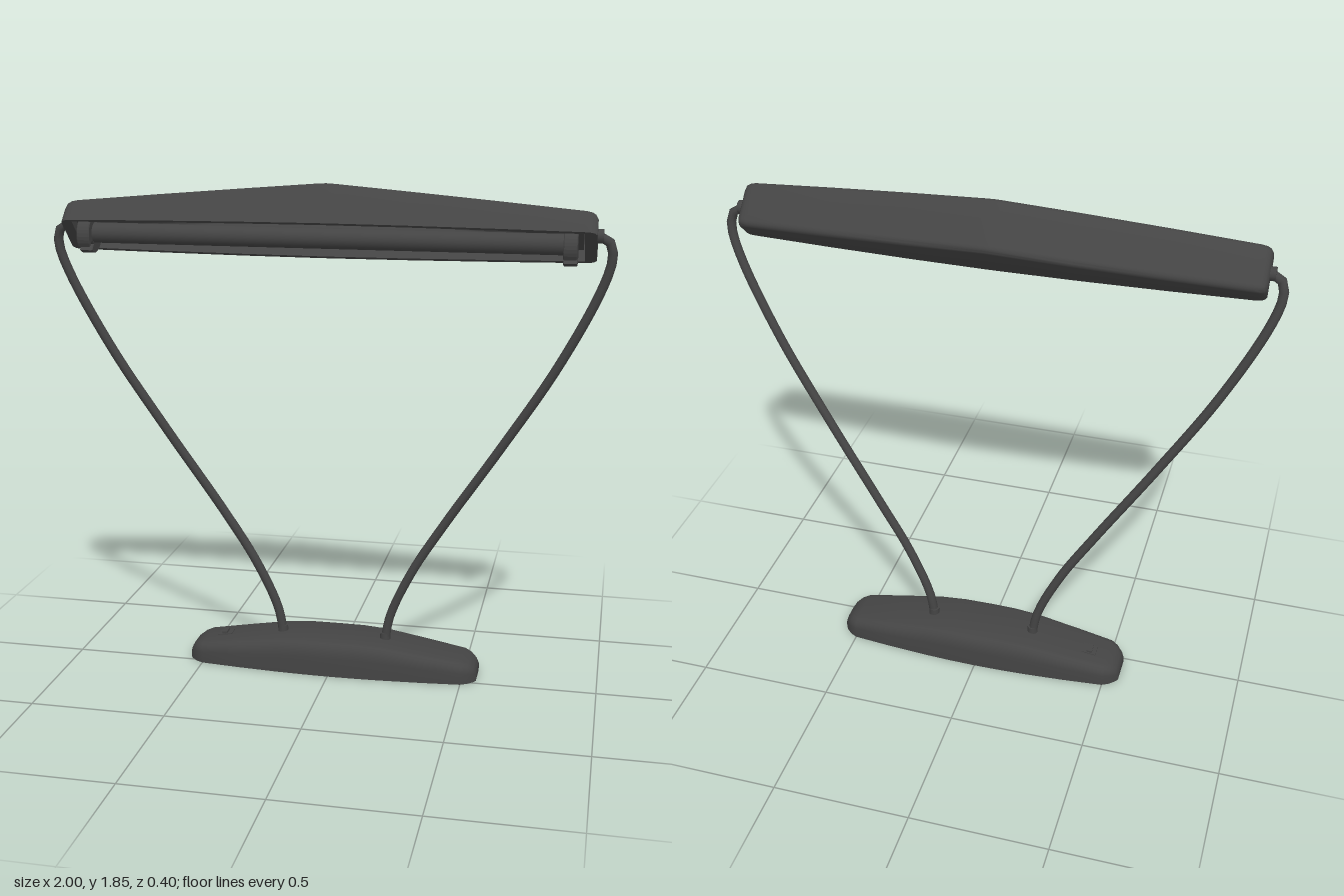
import * as THREE from 'three';
import { toCreasedNormals } from 'three/addons/utils/BufferGeometryUtils.js';

const dark = new THREE.MeshStandardMaterial({ color: 0x444444 });

function add(parent, name, geometry, x = 0, y = 0, z = 0) {
  const mesh = new THREE.Mesh(geometry, dark);
  mesh.name = name;
  mesh.position.set(x, y, z);
  parent.add(mesh);
  return mesh;
}

// Skin closed cross-sections [z, y] placed along x; both ends close to a point.
function loft(stations, crease = 0.6) {
  const rings = stations.map(({ x, pts }) => pts.map(([z, y]) => new THREE.Vector3(x, y, z)));
  const closeEnd = (ring) => {
    const mid = ring.reduce((s, p) => s.add(p), new THREE.Vector3()).divideScalar(ring.length);
    return ring.map(() => mid);
  };
  rings.unshift(closeEnd(rings[0]));
  rings.push(closeEnd(rings[rings.length - 1]));
  const pos = [];
  const tri = (a, b, c) => {
    const area = b.clone().sub(a).cross(c.clone().sub(a)).length();
    if (area > 1e-9) for (const p of [a, b, c]) pos.push(p.x, p.y, p.z);
  };
  for (let i = 0; i < rings.length - 1; i++) {
    const n = rings[i].length;
    for (let j = 0; j < n; j++) {
      const k = (j + 1) % n;
      tri(rings[i][j], rings[i][k], rings[i + 1][k]);
      tri(rings[i][j], rings[i + 1][k], rings[i + 1][j]);
    }
  }
  const geo = new THREE.BufferGeometry();
  geo.setAttribute('position', new THREE.Float32BufferAttribute(pos, 3));
  return toCreasedNormals(geo, crease);
}

// Mirror a list of half stations (x from the middle outwards) to both sides.
function mirrorStations(half) {
  const left = half.filter((s) => s.x > 0).map((s) => ({ ...s, x: -s.x })).reverse();
  return [...left, ...half];
}

// Arch from one lower edge over the top to the other, with rounded upper corners.
function arch(w, h, rz, ry) {
  const half = [[w, 0]];
  for (let i = 0; i <= 4; i++) {
    const a = (i / 4) * Math.PI / 2;
    half.push([w - rz + rz * Math.cos(a), h - ry + ry * Math.sin(a)]);
  }
  return [...half.map(([z, y]) => [-z, y]), ...half.reverse()];
}

// Trough section: outer arch followed by the inner arch; solid closes the cavity.
function trough(w, h, solid) {
  const t = 0.01;
  const inner = arch(w - t, h - t, 0.015, 0.015).reverse();
  return [...arch(w, h, 0.022, 0.022), ...inner.map(([z, y]) => [z, solid ? 0 : y])];
}

function createShade() {
  const shade = new THREE.Group();
  shade.name = 'shade';
  const half = [
    [0, 0.097, 0.186], [0.03, 0.097, 0.184], [0.3, 0.095, 0.157],
    [0.6, 0.09, 0.128], [0.89, 0.083, 0.1], [0.89, 0.083, 0.1, true],
    [0.91, 0.081, 0.096, true], [0.922, 0.077, 0.09, true], [0.93, 0.068, 0.078, true],
  ].map(([x, w, h, solid]) => ({ x, pts: trough(w, h, solid) }));
  add(shade, 'shadeShell', loft(mirrorStations(half)));

  // Fluorescent tube lying in the open side
  const tube = new THREE.CylinderGeometry(0.036, 0.036, 1.68, 16).rotateZ(Math.PI / 2);
  add(shade, 'lightTube', tube, 0, 0.004, 0.01);

  // Slotted round sockets with mounting blocks
  const s = new THREE.Shape();
  const r = 0.063, slot = 0.012, a = Math.asin(slot / r);
  s.moveTo(slot, -0.035);
  s.lineTo(slot, -r * Math.cos(a));
  s.absarc(0, 0, r, -Math.PI / 2 + a, Math.PI * 1.5 - a, false);
  s.lineTo(-slot, -0.035);
  const socket = new THREE.ExtrudeGeometry(s, {
    depth: 0.04, bevelEnabled: true, bevelSize: 0.003, bevelThickness: 0.003, bevelSegments: 1, curveSegments: 16,
  }).translate(0, 0, -0.02).rotateY(Math.PI / 2);
  for (const side of [-1, 1]) {
    add(shade, 'tubeSocket', socket, side * 0.845, 0, 0.006);
    add(shade, 'socketMount', new THREE.BoxGeometry(0.05, 0.06, 0.09), side * 0.86, 0.055, 0);
  }
  shade.position.set(0, 1.655, 0.13);
  shade.rotation.x = -Math.PI / 4;
  return shade;
}

function createBase() {
  const base = new THREE.Group();
  base.name = 'base';
  const half = [
    [0, 0.1275, 0.128], [0.1, 0.126, 0.128], [0.2, 0.122, 0.122], [0.35, 0.112, 0.1],
    [0.5, 0.098, 0.078], [0.525, 0.085, 0.07], [0.545, 0.066, 0.057], [0.555, 0.052, 0.04],
  ].map(([x, w, h]) => ({ x, pts: arch(w, h, 0.035, h * 0.45) }));
  add(base, 'baseBody', loft(mirrorStations(half)));

  // Rocker switch on the right-hand end
  const frame = add(base, 'switchFrame', new THREE.BoxGeometry(0.055, 0.01, 0.05), -0.43, 0.086, -0.01);
  const rocker = add(base, 'switchRocker', new THREE.BoxGeometry(0.02, 0.018, 0.04), -0.432, 0.089, -0.01);
  frame.rotation.z = rocker.rotation.z = 0.15;
  base.position.z = -0.0725;
  return base;
}

// One bent rod from the base to the shade's end
function createArm(side) {
  const arm = new THREE.Group();
  arm.name = side > 0 ? 'leftArm' : 'rightArm';
  const path = [
    [0.197, 0.09, -0.074], [0.217, 0.21, -0.071], [0.3, 0.4, -0.06], [0.42, 0.6, -0.045],
    [0.62, 0.91, -0.008], [0.81, 1.22, 0.031], [0.948, 1.5, 0.066], [0.981, 1.61, 0.081],
    [0.976, 1.662, 0.088], [0.95, 1.686, 0.092], [0.9, 1.69, 0.094],
  ].map(([x, y, z]) => new THREE.Vector3(side * x, y, z));
  const curve = new THREE.CatmullRomCurve3(path, false, 'centripetal');
  add(arm, 'armRod', new THREE.TubeGeometry(curve, 48, 0.017, 10));
  add(arm, 'armCollar', new THREE.CylinderGeometry(0.019, 0.021, 0.04, 12), side * 0.2, 0.125, -0.074);
  const pivot = new THREE.CylinderGeometry(0.024, 0.024, 0.03, 12).rotateZ(Math.PI / 2);
  add(arm, 'shadePivot', pivot, side * 0.935, 1.69, 0.094);
  return arm;
}

export function createModel() {
  const lamp = new THREE.Group();
  lamp.name = 'deskLamp';
  lamp.add(createBase(), createArm(1), createArm(-1), createShade());
  return lamp;
}
